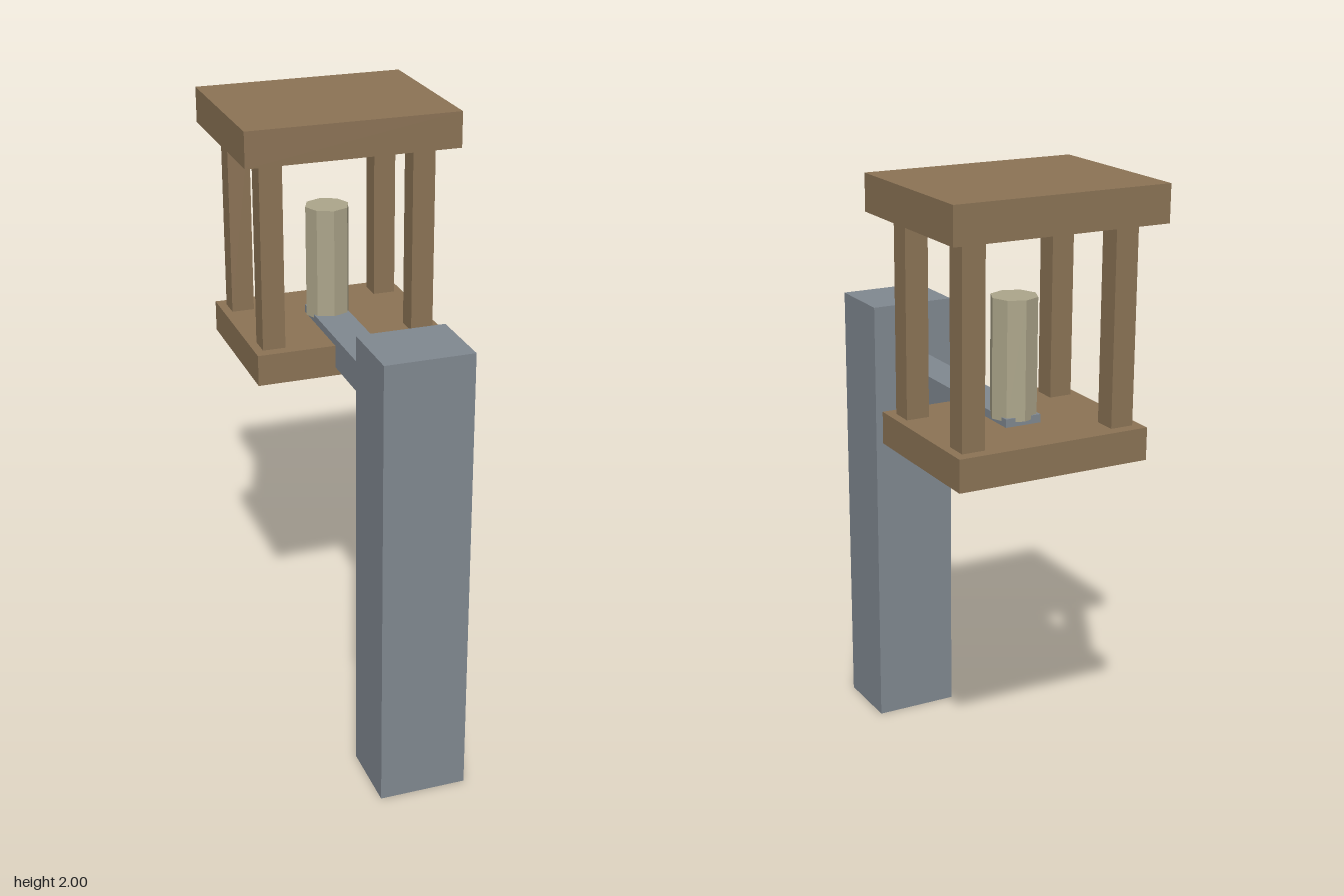
import * as THREE from 'three';

export function createModel() {
  const model = new THREE.Group();
  model.name = 'postLantern';

  const material = (name, color) => {
    const m = new THREE.MeshStandardMaterial({ color });
    m.name = name;
    return m;
  };
  const stone = material('greyStone', 0x808890);
  const wood = material('brownWood', 0x8b7355);
  const wax = material('paleWax', 0xaca58a);
  wax.flatShading = true;

  const add = (name, geometry, mat, x, y, z) => {
    const mesh = new THREE.Mesh(geometry, mat);
    mesh.name = name;
    mesh.position.set(x, y, z);
    model.add(mesh);
  };
  // Box standing on y
  const box = (name, mat, w, h, d, x, y, z) =>
    add(name, new THREE.BoxGeometry(w, h, d), mat, x, y + h / 2, z);

  const lanternZ = -0.318;

  // Support post and arm reaching into the lantern
  box('post', stone, 0.28, 1.48, 0.237, 0, 0, 0.481);
  box('arm', stone, 0.118, 0.1, 0.742, 0, 1.196, -0.009);

  // Lantern floor and roof
  box('lanternBase', wood, 0.63, 0.102, 0.506, 0, 1.168, lanternZ);
  box('lanternRoof', wood, 0.696, 0.115, 0.562, 0, 1.885, lanternZ);

  // Four corner pillars
  for (const sx of [-1, 1])
    for (const sz of [-1, 1])
      box('pillar', wood, 0.074, 0.617, 0.074, sx * 0.25, 1.269, lanternZ + sz * 0.178);

  // Eight-sided candle
  add('candle', new THREE.CylinderGeometry(0.073, 0.073, 0.37, 8), wax, 0, 1.469, lanternZ);

  return model;
}
